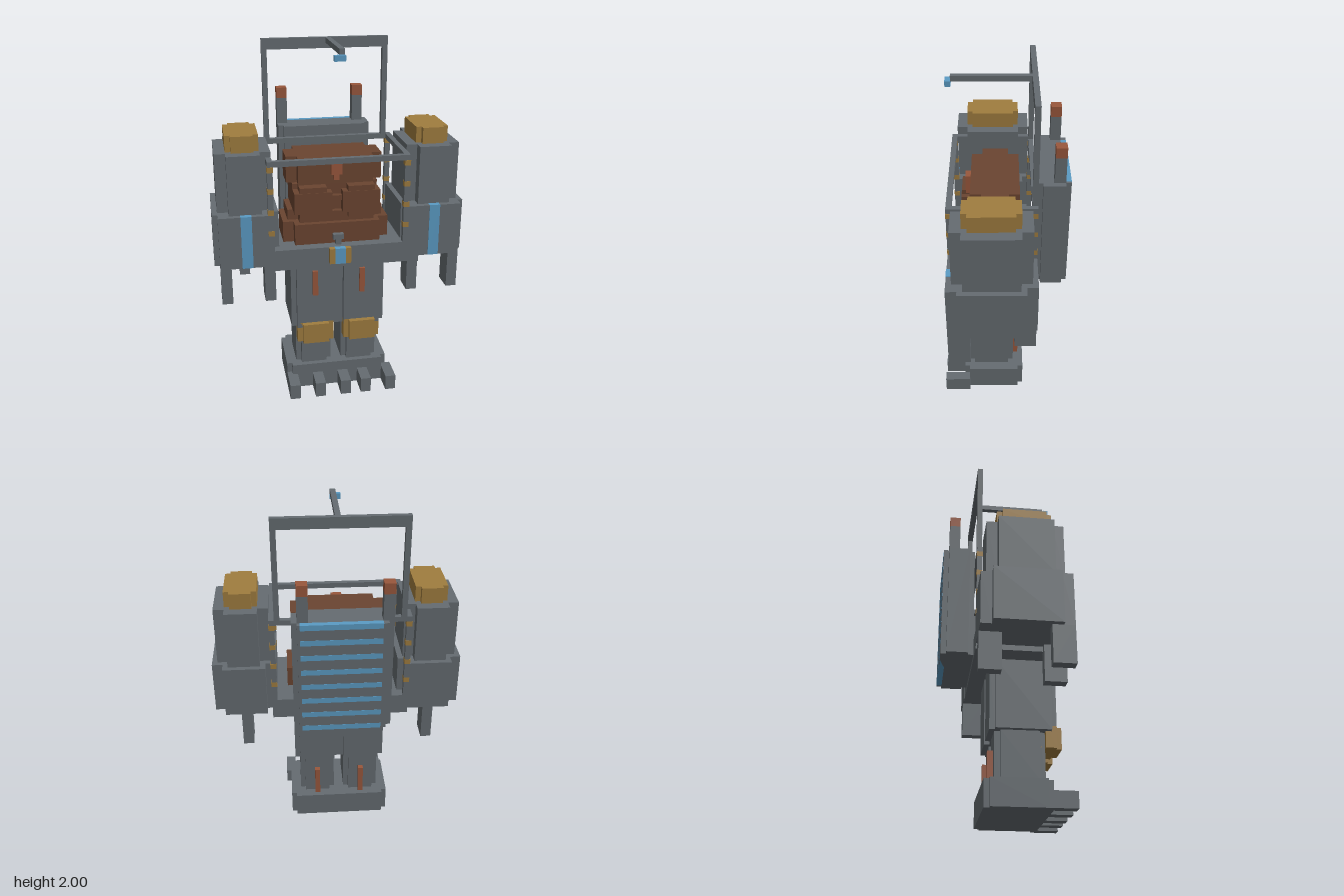
import * as THREE from 'three';

const U = 2 / 67; // one grid cell

const mat = (name, color) => {
  const m = new THREE.MeshStandardMaterial({ color });
  m.name = name;
  return m;
};

export function createModel() {
  const gray = mat('steelGray', 0x656c71);
  const blue = mat('glowBlue', 0x5b9bc4);
  const gold = mat('brassGold', 0xa07d3f);
  const brown = mat('leatherBrown', 0x6b4531);
  const red = mat('rustRed', 0x99573c);
  const model = new THREE.Group();
  model.name = 'walkerSuit';

  const part = (name) => {
    const g = new THREE.Group();
    g.name = name;
    model.add(g);
    return g;
  };
  // Box between grid lines: x0..x1, y0..y1, z0..z1
  const box = (g, name, m, x0, x1, y0, y1, z0, z1) => {
    const mesh = new THREE.Mesh(new THREE.BoxGeometry((x1 - x0) * U, (y1 - y0) * U, (z1 - z0) * U), m);
    mesh.position.set(((x0 + x1) / 2 - 23.5) * U, ((y0 + y1) / 2) * U, ((z0 + z1) / 2 - 12) * U);
    mesh.name = name;
    g.add(mesh);
  };
  // Upright prism with square-notched corners; nf and nb are front and back notch widths, d their depth
  const notched = (g, name, m, x0, x1, y0, y1, z0, z1, nf, nb = nf, d = nf) => {
    const pts = [
      [x0 + nf, z1], [x1 - nf, z1], [x1 - nf, z1 - d], [x1, z1 - d], [x1, z0 + d], [x1 - nb, z0 + d],
      [x1 - nb, z0], [x0 + nb, z0], [x0 + nb, z0 + d], [x0, z0 + d], [x0, z1 - d], [x0 + nf, z1 - d],
    ].map(([x, z]) => new THREE.Vector2((x - 23.5) * U, (12 - z) * U));
    const geo = new THREE.ExtrudeGeometry(new THREE.Shape(pts), { depth: (y1 - y0) * U, bevelEnabled: false });
    geo.rotateX(-Math.PI / 2);
    const mesh = new THREE.Mesh(geo, m);
    mesh.position.y = y0 * U;
    mesh.name = name;
    g.add(mesh);
  };

  // Foot block with five toes
  const foot = part('foot');
  notched(foot, 'footBlock', gray, 13, 33, 0, 5, 8, 20, 1);
  for (const x of [13, 18, 23, 27, 32]) box(foot, 'toe', gray, x, x + 2, 0, 3, 19, 24);

  // Legs
  [[15, 14, 18], [24, 23, 27]].forEach(([shin, thigh, rod], i) => {
    const leg = part(i ? 'leftLeg' : 'rightLeg');
    notched(leg, 'shin', gray, shin, shin + 7, 5, 14, 10, 19, 1);
    notched(leg, 'kneePad', gold, shin, shin + 7, 11, 15, 18, 22, 1);
    notched(leg, 'thigh', gray, thigh, thigh + 9, 14, 27, 9, 21, 1);
    box(leg, 'thighPiston', red, rod, rod + 1, 21, 26, 20.5, 21.5);
    box(leg, 'calfPiston', red, rod, rod + 1, 5, 11, 9, 10.5);
  });

  // Belt with buckle and control stick
  const belt = part('belt');
  box(belt, 'beltDeck', gray, 10, 36, 27, 31, 6, 22);
  box(belt, 'buckle', gold, 21, 25, 28, 31, 22, 23);
  box(belt, 'buckleLight', blue, 22, 24, 28, 31.05, 22, 23.1);
  box(belt, 'controlStem', gray, 22.5, 23.5, 31, 32, 20, 21);
  box(belt, 'controlHandle', gray, 22, 24, 32, 33, 19.5, 21);

  // Cockpit rail and posts with brass bands
  const rail = part('cockpitRail');
  for (const z of [6, 21]) {
    box(rail, 'crossRail', gray, 10, 36, 47, 48, z, z + 1);
    for (const x of [10, 35]) {
      box(rail, 'post', gray, x, x + 1, 31, 47, z, z + 1);
      for (const y of [34, 38, 42, 46]) {
        box(rail, 'postBand', gold, x - 0.05, x + 1.05, y, y + 1, z - 0.05, z + 1.05);
      }
    }
  }
  for (const x of [10, 35]) box(rail, 'sideRail', gray, x, x + 1, 47, 48, 7, 21);

  // Roll frame with forward boom and lamp
  const frame = part('rollFrame');
  for (const x of [11, 34]) box(frame, 'upright', gray, x, x + 1, 48, 65, 6, 7);
  box(frame, 'topBar', gray, 11, 35, 65, 67, 6, 7);
  box(frame, 'boom', gray, 23, 24, 66, 67, 7, 21);
  box(frame, 'boomLamp', blue, 22, 24, 65, 66, 21, 22);

  // Padded cockpit body
  const body = part('cockpitBody');
  notched(body, 'hips', brown, 13, 33, 31, 35, 9, 20, 2);
  notched(body, 'lowerWaist', brown, 14, 32, 35, 37, 9, 19, 2);
  notched(body, 'waist', brown, 15, 31, 37, 42, 9, 18, 1);
  notched(body, 'chest', brown, 14, 32, 42, 47, 9, 18, 2);
  for (const x of [15, 24]) {
    box(body, 'pad', brown, x, x + 7, 37, 41, 17, 20);
    box(body, 'padEdge', brown, x + 1, x + 6, 36, 42, 17, 19.9);
  }
  box(body, 'padBridge', brown, 22, 24, 39, 40, 17, 19);
  box(body, 'tongue', red, 22, 24, 44, 47, 18, 19);
  box(body, 'tongueTip', red, 22.5, 23.5, 43, 44, 18, 19);

  // Arms, mirrored
  for (const side of [-1, 1]) {
    const arm = part(side > 0 ? 'leftArm' : 'rightArm');
    const X = (a, b) => (side < 0 ? [a, b] : [47 - b, 47 - a]);
    notched(arm, 'upperArm', gray, ...X(1, 11), 38, 49, 7, 21, 2);
    notched(arm, 'shoulderCap', gold, ...X(3, 9), 49, 52, 9, 19, 1);
    notched(arm, 'forearm', gray, ...X(0, 12), 28, 38, 6, 22, 1, 2, 2);
    box(arm, 'forearmStrip', blue, ...X(5, 7), 28, 38.05, 21, 22.08);
    for (const x of [1, 9]) box(arm, 'finger', gray, ...X(x, x + 2), 21, 28, 18, 22);
    box(arm, 'thumb', gray, ...X(5, 7), 21, 28, 6, 10);
  }

  // Backpack with vents and exhausts
  const pack = part('backpack');
  box(pack, 'packCore', gray, 14, 32, 28, 50, 1, 5);
  box(pack, 'packBack', gray, 15, 31, 28, 50, 0, 1);
  box(pack, 'packMount', gray, 15, 31, 28, 50, 5, 6);
  for (let i = 0; i < 8; i++) {
    const y = 28 + 3 * i;
    box(pack, 'vent', blue, 16, 30.5, y, y + 1.04, -0.04, 1);
  }
  for (const x of [14, 29]) {
    box(pack, 'exhaust', gray, x, x + 2, 50, 55, 1, 3);
    box(pack, 'exhaustCap', red, x, x + 2, 55, 57, 1, 3);
  }

  return model;
}
